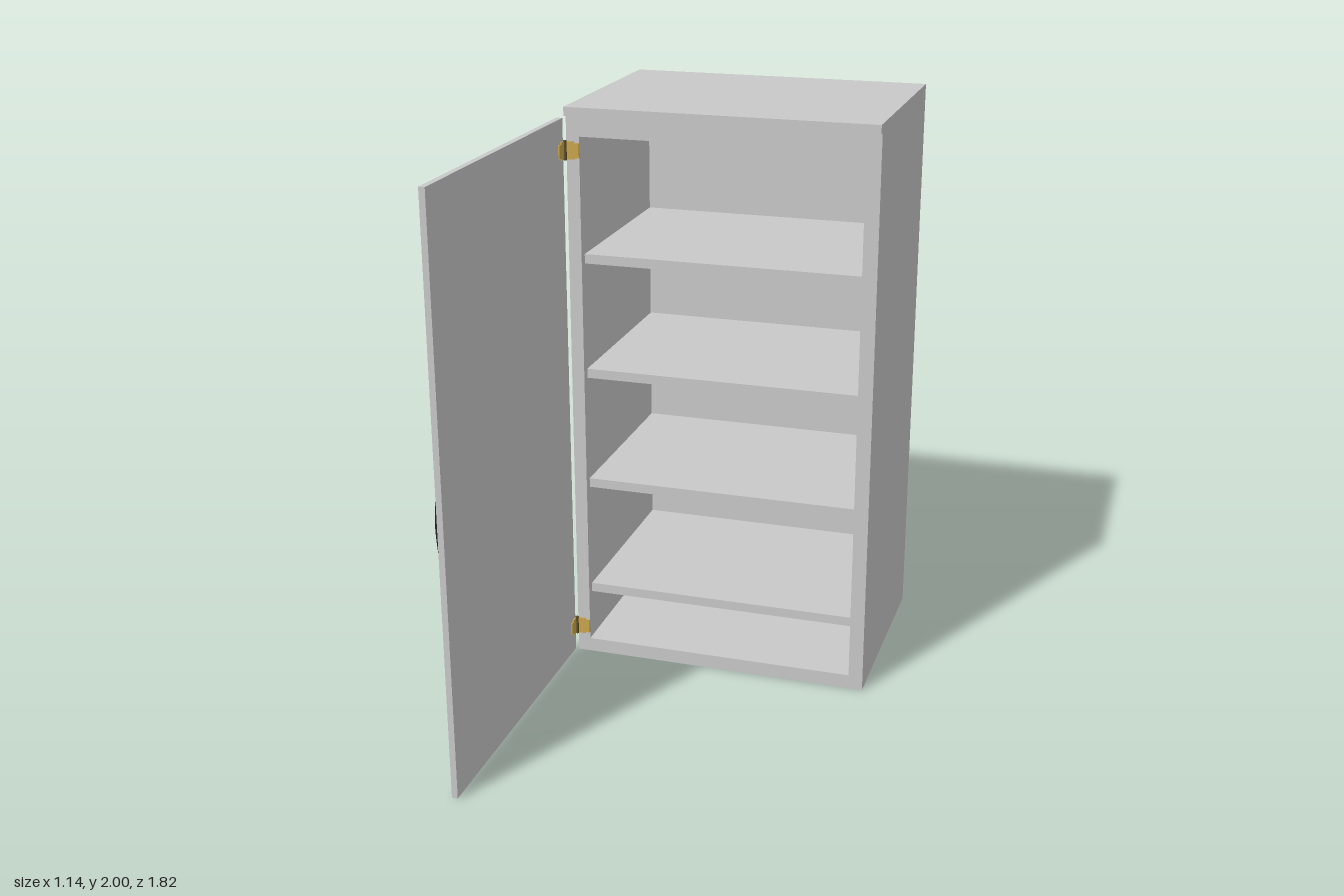
import * as THREE from 'three';

export function createModel() {
  const model = new THREE.Group();
  model.name = 'cabinet';

  const mat = (name, color) => {
    const m = new THREE.MeshStandardMaterial({ color });
    m.name = name;
    return m;
  };
  const grey = mat('grey panel', 0xc8c8c8);
  const brass = mat('brass', 0xc9a54c);
  const darkBrass = mat('dark brass', 0x5c4c2a);
  const black = mat('black handle', 0x222226);

  const add = (parent, name, geometry, material) => {
    const mesh = new THREE.Mesh(geometry, material);
    mesh.name = name;
    parent.add(mesh);
    return mesh;
  };
  // Box given by its minimum and maximum corners
  const box = (parent, name, [x0, y0, z0], [x1, y1, z1], material = grey) => {
    const g = new THREE.BoxGeometry(x1 - x0, y1 - y0, z1 - z0);
    g.translate((x0 + x1) / 2, (y0 + y1) / 2, (z0 + z1) / 2);
    return add(parent, name, g, material);
  };

  // Carcass: one hollow extrusion, closed by a back panel
  const left = -0.49, right = 0.57, back = -0.91, front = -0.15;
  const inL = -0.445, inR = 0.52, inB = 0.05, inT = 1.9, backInner = -0.88;
  const outline = new THREE.Shape([
    [left, 0], [right, 0], [right, 2], [left, 2],
  ].map(p => new THREE.Vector2(...p)));
  outline.holes.push(new THREE.Path([
    [inL, inB], [inL, inT], [inR, inT], [inR, inB],
  ].map(p => new THREE.Vector2(...p))));
  const shell = new THREE.ExtrudeGeometry(outline, { depth: front - back, bevelEnabled: false });
  shell.translate(0, 0, back);
  add(model, 'carcass', shell, grey);
  box(model, 'backPanel', [inL, inB, back], [inR, inT, backInner]);
  box(model, 'topLip', [left, 1.97, front], [right, 2, -0.13]);

  // Four shelves, set slightly behind the front frame
  for (let i = 0; i < 4; i++) {
    const y = 0.227 + i * 0.411;
    box(model, 'shelf', [inL, y, backInner], [inR, y + 0.033, -0.18]);
  }

  // Door standing open at a right angle
  const door = new THREE.Group();
  door.name = 'door';
  model.add(door);
  box(door, 'doorPanel', [-0.52, 0.003, -0.145], [-0.5, 1.96, 0.91]);

  // Bowed strap handle on the outer face of the door
  const pts = (list) => list.map(([x, y]) => new THREE.Vector2(x, y));
  const outer = pts([[-0.52, 0.708], [-0.546, 0.728], [-0.559, 0.765], [-0.567, 0.83], [-0.57, 0.89],
    [-0.567, 0.95], [-0.559, 1.015], [-0.546, 1.052], [-0.52, 1.072]]);
  const inner = pts([[-0.52, 1.056], [-0.536, 1.04], [-0.546, 1.01], [-0.552, 0.95], [-0.555, 0.89],
    [-0.552, 0.83], [-0.546, 0.77], [-0.536, 0.74], [-0.52, 0.724]]);
  const strap = new THREE.Shape();
  strap.moveTo(outer[0].x, outer[0].y);
  strap.splineThru(outer.slice(1));
  strap.lineTo(inner[0].x, inner[0].y);
  strap.splineThru(inner.slice(1));
  strap.closePath();
  const handle = new THREE.ExtrudeGeometry(strap, { depth: 0.04, bevelEnabled: false, curveSegments: 24 });
  handle.translate(0, 0, 0.78);
  add(door, 'handle', handle, black);

  // Hinges: a leaf on the frame, a leaf on the door and a knuckle between
  for (const y of [0.1, 1.853]) {
    const hinge = new THREE.Group();
    hinge.name = 'hinge';
    hinge.position.y = y;
    model.add(hinge);
    box(hinge, 'frameLeaf', [-0.488, -0.03, -0.151], [-0.462, 0.03, -0.145], brass);
    box(hinge, 'frameLeafTip', [-0.462, -0.025, -0.151], [-0.445, 0.025, -0.145], brass);
    box(hinge, 'doorLeaf', [-0.501, -0.03, -0.142], [-0.495, 0.03, -0.118], brass);
    box(hinge, 'doorLeafTip', [-0.501, -0.023, -0.118], [-0.495, 0.023, -0.1], brass);
    const pin = new THREE.CylinderGeometry(0.006, 0.006, 0.066, 16);
    pin.translate(-0.493, 0, -0.146);
    add(hinge, 'knuckle', pin, darkBrass);
  }

  return model;
}
